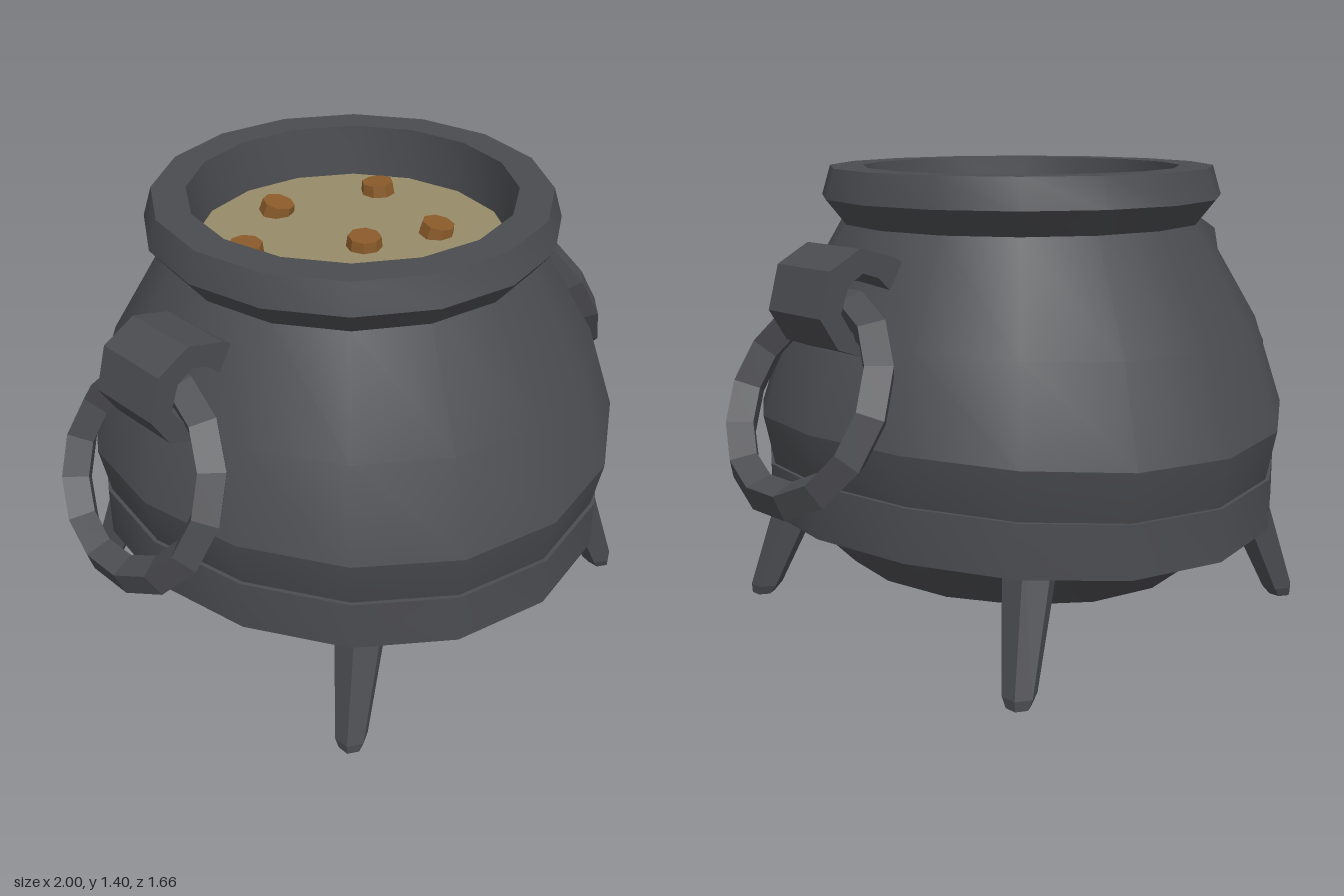
import * as THREE from 'three';
import { toCreasedNormals } from 'three/addons/utils/BufferGeometryUtils.js';

const iron = new THREE.MeshStandardMaterial({ color: 0x4b4c50 });
const ironFlat = new THREE.MeshStandardMaterial({ color: 0x4b4c50, flatShading: true });
const stew = new THREE.MeshStandardMaterial({ color: 0x968c68 });
const chunk = new THREE.MeshStandardMaterial({ color: 0x8a5a2a, flatShading: true });

const SIDES = 16;

function addMesh(parent, name, geometry, material) {
  const mesh = new THREE.Mesh(geometry, material);
  mesh.name = name;
  parent.add(mesh);
  return mesh;
}

function lathe(points, sides = SIDES) {
  return new THREE.LatheGeometry(points.map(([r, y]) => new THREE.Vector2(r, y)), sides);
}

// The belly rises slightly towards the handles; the lift fades out at base and neck.
function liftSides(geometry) {
  const p = geometry.attributes.position;
  for (let i = 0; i < p.count; i++) {
    const x = p.getX(i), y = p.getY(i), z = p.getZ(i);
    const r2 = x * x + z * z;
    if (r2 < 1e-6) continue;
    const fade = y < 0.31
      ? THREE.MathUtils.clamp((y - 0.1) / 0.21, 0, 1)
      : THREE.MathUtils.clamp((1.235 - y) / 0.615, 0, 1);
    p.setY(i, y + 0.065 * fade * (x * x) / r2);
  }
  return toCreasedNormals(geometry, 0.44);
}

export function createModel() {
  const model = new THREE.Group();
  model.name = 'cauldron';

  // Pot body with flared rim and inner wall
  addMesh(model, 'body', liftSides(lathe([
    [0, 0.095], [0.285, 0.1], [0.56, 0.165], [0.74, 0.31], [0.8, 0.47],
    [0.83, 0.62], [0.74, 0.91], [0.56, 1.235],
  ])), iron);
  addMesh(model, 'rim', toCreasedNormals(lathe([
    [0.56, 1.235], [0.62, 1.31], [0.593, 1.4], [0.49, 1.4], [0.47, 1.2],
  ]), 0.44), iron);

  // Flat band round the belly
  const band = lathe([[0.72, 0.311], [0.812, 0.311], [0.812, 0.47], [0.77, 0.47]]);
  const bp = band.attributes.position;
  for (let i = 0; i < bp.count; i++) {
    const x = bp.getX(i), z = bp.getZ(i);
    bp.setY(i, bp.getY(i) + 0.065 * x * x / (x * x + z * z));
  }
  addMesh(model, 'band', toCreasedNormals(band, 0.44), iron);

  // Contents
  const surface = new THREE.CircleGeometry(0.475, SIDES).rotateX(-Math.PI / 2);
  addMesh(model, 'stewSurface', surface, stew).position.y = 1.24;
  const chunks = [
    [-0.04, -0.29, 0.2], [0.29, -0.18, -0.15], [-0.3, -0.14, 0.05],
    [-0.02, 0.07, 0.04], [-0.28, 0.2, -0.2], [0.2, 0.16, 0.18],
  ];
  chunks.forEach(([x, z, tilt], i) => {
    const piece = addMesh(model, 'stewChunk', new THREE.CylinderGeometry(0.05, 0.055, 0.04, 8), chunk);
    piece.position.set(x, 1.255, z);
    piece.rotation.set(tilt, i * 1.3, -tilt * 0.6);
  });

  // Four splayed, tapered legs
  for (const sx of [-1, 1]) {
    for (const sz of [-1, 1]) {
      const leg = lathe([[0, 0], [0.036, 0], [0.05, 0.03], [0.086, 0.42], [0, 0.42]], 6);
      const p = leg.attributes.position;
      for (let i = 0; i < p.count; i++) {
        const y = p.getY(i);
        p.setX(i, p.getX(i) + sx * (0.605 - 0.34 * y));
        p.setZ(i, p.getZ(i) + sz * (0.605 - 0.22 * y));
      }
      addMesh(model, 'leg', leg, ironFlat);
    }
  }

  // Handles: a bent lug on each side with a loose ring hanging from it
  const lugOutline = [
    [0.55, 1.14], [0.61, 1.176], [0.727, 1.208], [0.83, 1.155], [0.866, 1.03],
    [0.81, 0.94], [0.7, 0.9], [0.7, 0.965], [0.765, 0.985], [0.797, 1.037],
    [0.77, 1.11], [0.72, 1.14], [0.668, 1.123], [0.6, 1.06],
  ].map(([x, y]) => new THREE.Vector2(x, y));
  for (const side of [0, Math.PI]) {
    const handle = new THREE.Group();
    handle.name = side ? 'rightHandle' : 'leftHandle';
    handle.rotation.y = side;
    const lug = new THREE.ExtrudeGeometry(new THREE.Shape(lugOutline), { depth: 0.24, bevelEnabled: false });
    addMesh(handle, 'lug', lug.translate(0, 0, -0.12), ironFlat);
    const ring = new THREE.TorusGeometry(0.285, 0.055, 4, 14).rotateY(Math.PI / 2).rotateZ(0.44);
    addMesh(handle, 'ring', ring.translate(0.833, 0.785, 0), ironFlat);
    model.add(handle);
  }
  return model;
}
